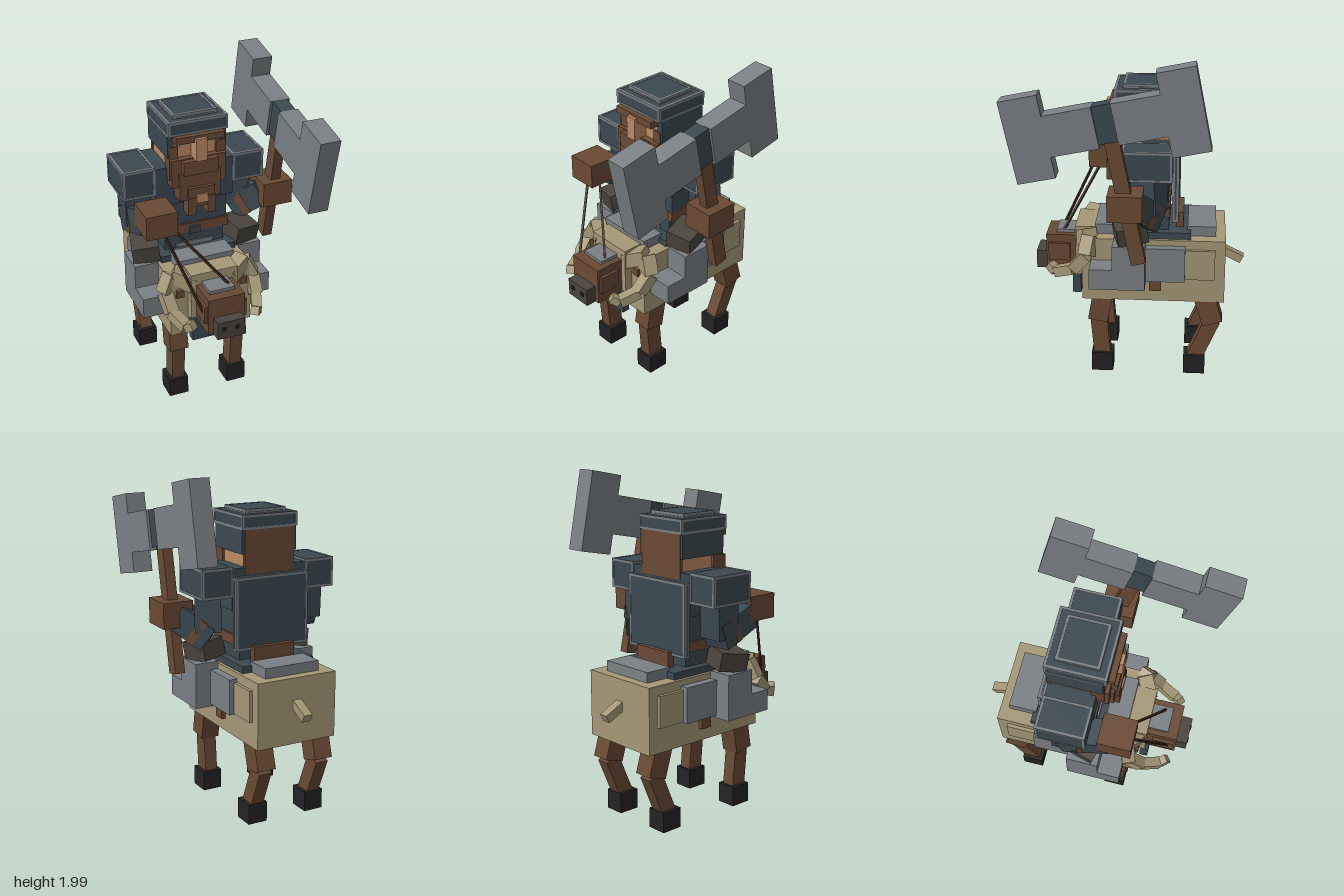
import * as THREE from 'three';

const mat = (name, color) => {
  const m = new THREE.MeshStandardMaterial({ color });
  m.name = name;
  return m;
};

export function createModel() {
  const steel = mat('steel grey', 0x7a8084), slate = mat('dark slate', 0x3b4951);
  const brown = mat('leather brown', 0x694a34), tan = mat('tan fur', 0xa59877);
  const taupe = mat('dark taupe', 0x4a453d), black = mat('hoof black', 0x232323);
  const skin = mat('skin', 0xbb8a65), cord = mat('rein brown', 0x40291b);
  const eye = mat('pale eye', 0x8f9a7c);
  const CX = -0.085; // mirror plane of mount and rider
  const root = new THREE.Group();
  root.name = 'axeRiderOnRam';
  const group = (name, parent = root) => {
    const g = new THREE.Group();
    g.name = name;
    parent.add(g);
    return g;
  };

  // Box given by its low and high corner
  const box = (parent, name, m, x0, x1, y0, y1, z0, z1) => {
    const mesh = new THREE.Mesh(new THREE.BoxGeometry(x1 - x0, y1 - y0, z1 - z0), m);
    mesh.position.set((x0 + x1) / 2, (y0 + y1) / 2, (z0 + z1) / 2);
    mesh.name = name;
    parent.add(mesh);
    return mesh;
  };
  // Box stretched between two points
  const beam = (parent, name, m, a, b, w, h = w) => {
    const p = new THREE.Vector3(...a), q = new THREE.Vector3(...b);
    const mesh = new THREE.Mesh(new THREE.BoxGeometry(w, h, p.distanceTo(q)), m);
    mesh.position.copy(p).add(q).multiplyScalar(0.5);
    mesh.lookAt(q);
    mesh.name = name;
    parent.add(mesh);
    return mesh;
  };
  // Slate box with thin steel bars along its twelve edges
  const armour = (parent, name, x0, x1, y0, y1, z0, z1, t = 0.012) => {
    const g = group(name, parent), e = 0.002;
    box(g, 'plate', slate, x0, x1, y0, y1, z0, z1);
    const X = [[x0 - e, x0 + t], [x1 - t, x1 + e]];
    const Y = [[y0 - e, y0 + t], [y1 - t, y1 + e]];
    const Z = [[z0 - e, z0 + t], [z1 - t, z1 + e]];
    for (const i of [0, 1]) for (const j of [0, 1]) {
      box(g, 'trim', steel, x0, x1, ...Y[i], ...Z[j]);
      box(g, 'trim', steel, ...X[i], y0, y1, ...Z[j]);
      box(g, 'trim', steel, ...X[i], ...Y[j], z0, z1);
    }
  };
  // Mirrored helpers: x is measured outward from the mirror plane
  const pairBox = (parent, name, m, x0, x1, ...r) => [1, -1].map((s) =>
    box(parent, name, m, CX + (s > 0 ? x0 : -x1), CX + (s > 0 ? x1 : -x0), ...r));
  const pairBeam = (parent, name, m, a, b, w, h) => [1, -1].map((s) =>
    beam(parent, name, m, [CX + s * a[0], a[1], a[2]], [CX + s * b[0], b[1], b[2]], w, h));

  // Mount body
  const ram = group('ram');
  box(ram, 'body', tan, -0.34, 0.17, 0.49, 0.88, -0.565, 0.28);
  pairBox(ram, 'haunchPanel', tan, 0.25, 0.275, 0.64, 0.825, -0.505, -0.3);
  box(ram, 'neck', tan, -0.23, 0.06, 0.6, 0.91, 0.15, 0.33);
  box(ram, 'bibPlate', slate, -0.23, 0.055, 0.475, 0.62, 0.3, 0.35);
  pairBox(ram, 'harnessTab', brown, 0.175, 0.22, 0.755, 0.8, 0.27, 0.3);
  beam(ram, 'tail', tan, [CX, 0.73, -0.55], [CX, 0.67, -0.67], 0.055, 0.05);

  // Legs
  pairBeam(ram, 'frontUpperLeg', brown, [0.19, 0.54, 0.155], [0.19, 0.34, 0.19], 0.115, 0.12);
  pairBeam(ram, 'frontLowerLeg', brown, [0.19, 0.36, 0.187], [0.19, 0.1, 0.165], 0.08, 0.1);
  pairBox(ram, 'frontHoof', black, 0.13, 0.25, 0, 0.12, 0.1, 0.23);
  pairBeam(ram, 'backUpperLeg', brown, [0.19, 0.54, -0.44], [0.19, 0.34, -0.5], 0.115, 0.125);
  pairBeam(ram, 'backLowerLeg', brown, [0.19, 0.35, -0.5], [0.19, 0.1, -0.395], 0.08, 0.095);
  pairBox(ram, 'backHoof', black, 0.13, 0.25, 0, 0.12, -0.46, -0.33);

  // Mount head
  const ramHead = group('ramHead', ram);
  box(ramHead, 'skull', brown, -0.197, 0.027, 0.61, 0.84, 0.31, 0.51);
  box(ramHead, 'browPlate', steel, -0.165, -0.01, 0.83, 0.86, 0.33, 0.45);
  box(ramHead, 'snout', taupe, -0.167, 0, 0.61, 0.72, 0.5, 0.575);
  pairBox(ramHead, 'nostril', black, 0.03, 0.055, 0.66, 0.685, 0.572, 0.58);
  pairBox(ramHead, 'ear', brown, 0.11, 0.13, 0.68, 0.79, 0.365, 0.495);

  // Curled horns, in tapering segments
  const horn = [[0.11, 0.83, 0.29], [0.225, 0.885, 0.23], [0.275, 0.78, 0.25],
    [0.265, 0.69, 0.33], [0.22, 0.65, 0.44], [0.19, 0.68, 0.48]];
  for (let i = 0; i < 5; i++) {
    pairBeam(ramHead, 'hornSegment', tan, horn[i], horn[i + 1], 0.09 - i * 0.01);
  }

  // Saddle
  const saddle = group('saddle');
  box(saddle, 'saddleCloth', slate, -0.32, 0.15, 0.86, 0.92, -0.36, 0.09);
  box(saddle, 'rearFlap', steel, -0.26, 0.09, 0.87, 0.94, -0.508, -0.34);
  box(saddle, 'frontFlap', steel, -0.26, 0.09, 0.87, 0.94, 0.07, 0.208);
  box(saddle, 'saddleBack', brown, -0.215, 0.05, 0.9, 1.01, -0.315, -0.27);
  pairBox(saddle, 'stirrupStrap', brown, 0.24, 0.28, 0.565, 0.66, -0.19, -0.12);

  // Armoured legs of the rider
  const rider = group('rider');
  pairBox(rider, 'thighPlate', steel, 0.25, 0.305, 0.635, 0.845, -0.33, -0.1);
  pairBox(rider, 'shin', steel, 0.255, 0.4, 0.62, 0.89, -0.1, 0.09);
  pairBox(rider, 'boot', steel, 0.255, 0.4, 0.62, 0.745, 0.09, 0.225);
  pairBox(rider, 'hipGuard', taupe, 0.22, 0.38, 0.9, 1.01, -0.1, 0.08).forEach((m, i) => {
    m.rotation.set(0.15, 0.25 * (i ? -1 : 1), -0.15 * (i ? -1 : 1));
  });

  // Torso
  box(rider, 'chest', slate, -0.325, 0.155, 1.22, 1.46, -0.245, 0.03);
  box(rider, 'waist', slate, -0.29, 0.12, 1.04, 1.23, -0.225, 0.015);
  box(rider, 'belt', brown, -0.3, 0.13, 1.01, 1.07, -0.235, 0.025);
  box(rider, 'buckle', slate, -0.118, -0.052, 1.005, 1.05, 0.02, 0.04);
  box(rider, 'mailSkirt', slate, -0.27, 0.1, 0.9, 1.015, -0.23, 0.02);
  box(rider, 'skirtHem', steel, -0.2, 0.03, 0.925, 0.95, 0.015, 0.03);
  armour(rider, 'backShield', -0.32, 0.15, 0.99, 1.41, -0.285, -0.25);
  armour(rider, 'leftPauldron', 0.155, 0.345, 1.3, 1.47, -0.25, 0.03);
  armour(rider, 'rightPauldron', -0.515, -0.325, 1.3, 1.47, -0.25, 0.03);

  // Arms
  const leftArm = group('leftArm', rider), rightArm = group('rightArm', rider);
  beam(leftArm, 'upperArm', slate, [0.24, 1.38, -0.11], [0.25, 1.09, -0.13], 0.15);
  beam(leftArm, 'forearm', slate, [0.24, 1.05, -0.14], [0.38, 1.18, -0.02], 0.15);
  beam(leftArm, 'armBand', brown, [0.275, 1.083, -0.11], [0.305, 1.11, -0.085], 0.156);
  box(leftArm, 'glove', brown, 0.325, 0.51, 1.12, 1.27, -0.095, 0.1);
  beam(rightArm, 'upperArm', slate, [-0.41, 1.38, -0.11], [-0.41, 1.1, -0.1], 0.15);
  beam(rightArm, 'forearm', slate, [-0.41, 1.11, -0.14], [-0.385, 1.2, 0.12], 0.16, 0.15);
  beam(rightArm, 'armBand', brown, [-0.402, 1.138, -0.06], [-0.398, 1.152, -0.02], 0.166, 0.156);
  box(rightArm, 'glove', brown, -0.47, -0.285, 1.165, 1.31, 0.085, 0.28);

  // Head and helmet
  const head = group('head', rider);
  box(head, 'face', skin, -0.24, 0.07, 1.44, 1.7, -0.235, 0.06);
  box(head, 'hair', brown, -0.245, 0.075, 1.42, 1.68, -0.25, -0.225);
  armour(head, 'helmet', -0.262, 0.092, 1.675, 1.755, -0.252, 0.09);
  armour(head, 'helmetCrown', -0.215, 0.045, 1.75, 1.778, -0.2, 0.04);
  pairBox(head, 'cheekGuard', slate, 0.14, 0.177, 1.535, 1.68, -0.245, 0.07);
  box(head, 'eyebrows', brown, -0.23, 0.06, 1.635, 1.675, 0.05, 0.125);
  box(head, 'nose', skin, -0.118, -0.052, 1.525, 1.66, 0.05, 0.145);
  pairBox(head, 'eye', eye, 0.055, 0.1, 1.595, 1.62, 0.058, 0.066);

  // Beard in stepped blocks, with plaits and a bead
  pairBox(head, 'sideburn', brown, 0.115, 0.168, 1.4, 1.6, 0.0, 0.075);
  box(head, 'beardTop', brown, -0.25, 0.08, 1.36, 1.53, 0.02, 0.1);
  box(head, 'moustache', brown, -0.19, 0.02, 1.44, 1.525, 0.09, 0.135);
  box(head, 'beardMiddle', brown, -0.21, 0.04, 1.28, 1.45, 0.03, 0.12);
  box(head, 'beardLower', brown, -0.165, -0.005, 1.24, 1.36, 0.03, 0.14);
  pairBox(head, 'plait', brown, 0.035, 0.085, 1.19, 1.3, 0.07, 0.145);
  box(head, 'beardBead', skin, -0.118, -0.052, 1.265, 1.32, 0.09, 0.15);

  // Reins
  beam(rider, 'rein', cord, [-0.36, 1.18, 0.25], [-0.21, 0.74, 0.465], 0.013);
  beam(rider, 'rein', cord, [-0.3, 1.18, 0.21], [-0.03, 0.855, 0.405], 0.013);

  // Double axe, tilted forward in the left hand
  const axe = group('axe');
  axe.position.set(0.42, 1.2, 0);
  axe.rotation.x = 0.2;
  box(axe, 'handle', brown, -0.03, 0.03, -0.36, 0.4, -0.042, 0.042);
  box(axe, 'axeHub', slate, -0.045, 0.045, 0.37, 0.585, -0.04, 0.07);
  for (const s of [1, -1]) {
    const span = (a, b) => (s > 0 ? [0.015 + a, 0.015 + b] : [0.015 - b, 0.015 - a]);
    box(axe, 'bladeNeck', steel, -0.06, 0.06, 0.353, 0.586, ...span(0.053, 0.325));
    box(axe, 'bladeEdge', steel, -0.06, 0.06, 0.232, 0.703, ...span(0.322, 0.537));
  }
  return root;
}
